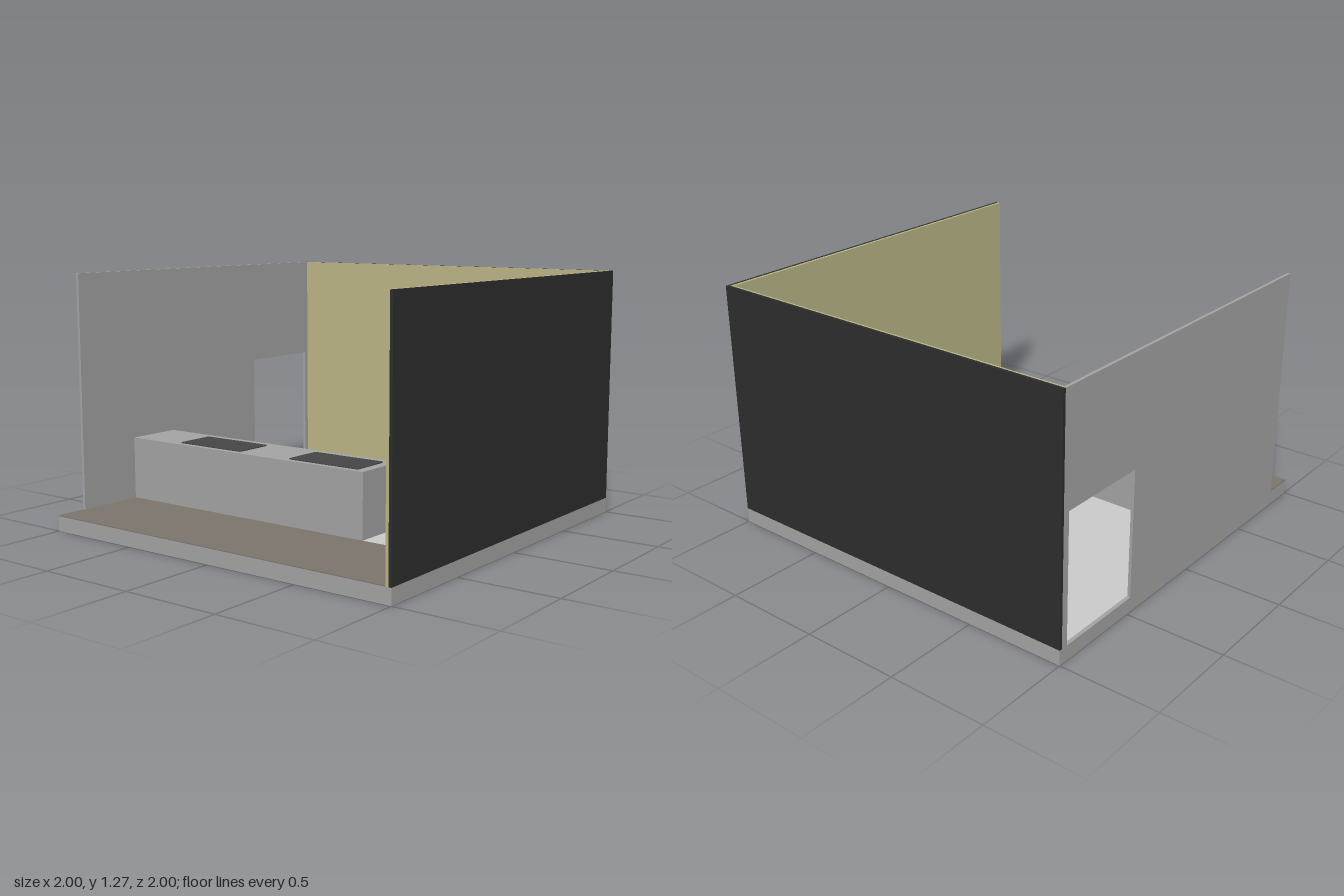
import * as THREE from 'three';

const mat = (name, color) => {
  const m = new THREE.MeshStandardMaterial({ color });
  m.name = name;
  return m;
};

export function createModel() {
  const room = new THREE.Group();
  room.name = 'room';
  const grey = mat('concrete grey', 0xa3a3a3);
  const light = mat('light floor grey', 0xcacaca);
  const brown = mat('warm brown', 0x7b746c);
  const yellow = mat('olive yellow', 0xbab585);
  const black = mat('outer wall black', 0x2d2d2d);
  const dark = mat('panel dark grey', 0x454545);

  const FLOOR = 0.08, TOP = 1.27;

  const add = (name, geometry, material) => {
    const mesh = new THREE.Mesh(geometry, material);
    mesh.name = name;
    room.add(mesh);
    return mesh;
  };

  // Box given by its lower and upper corners
  const box = (name, material, [x0, y0, z0], [x1, y1, z1]) => {
    const g = new THREE.BoxGeometry(x1 - x0, y1 - y0, z1 - z0);
    g.translate((x0 + x1) / 2, (y0 + y1) / 2, (z0 + z1) / 2);
    return add(name, g, material);
  };

  // Thin plate lying flat, outlined by [x, z] points with softened corners
  const plate = (name, material, points, y, radius, depth = 0.004) => {
    const p = points.map(([x, z]) => new THREE.Vector2(x, -z));
    const shape = new THREE.Shape();
    p.forEach((c, i) => {
      const prev = p[(i + p.length - 1) % p.length], next = p[(i + 1) % p.length];
      const toward = (o) => c.clone().lerp(o, Math.min(0.45, radius / c.distanceTo(o)));
      const a = toward(prev), b = toward(next);
      if (i === 0) shape.moveTo(a.x, a.y);
      else shape.lineTo(a.x, a.y);
      shape.quadraticCurveTo(c.x, c.y, b.x, b.y);
    });
    shape.closePath();
    const g = new THREE.ExtrudeGeometry(shape, { depth, bevelEnabled: false, curveSegments: 4 });
    g.rotateX(-Math.PI / 2).translate(0, y, 0);
    return add(name, g, material);
  };

  // Base slab and the two floor coverings
  box('baseSlab', grey, [-1, 0, -1], [1, FLOOR - 0.004, 1]);
  box('backFloor', light, [-0.985, FLOOR - 0.004, -0.975], [0.97, FLOOR, 0.49]);
  box('frontFloor', brown, [-0.985, FLOOR - 0.004, 0.49], [0.97, FLOOR, 1]);
  box('frontFloorCorner', brown, [-1, FLOOR - 0.004, 0.84], [-0.985, FLOOR, 1]);

  // Outer walls with a painted lining inside
  const sill = FLOOR - 0.004;
  box('backWall', black, [-1, sill, -1], [1, TOP, -0.985]);
  box('rightWall', black, [0.985, sill, -0.985], [1, TOP, 1]);
  box('backLining', yellow, [-0.985, sill, -0.985], [0.985, TOP, -0.975]);
  box('rightLining', yellow, [0.97, sill, -0.975], [0.985, TOP, 1]);

  // Side wall with a doorway near the back corner
  const outline = [[-0.985, sill], [-0.95, sill], [-0.95, 0.72], [-0.475, 0.72],
    [-0.475, sill], [0.84, sill], [0.84, TOP], [-0.985, TOP]];
  const wall = new THREE.ExtrudeGeometry(
    new THREE.Shape(outline.map(([z, y]) => new THREE.Vector2(z, y))),
    { depth: 0.015, bevelEnabled: false });
  wall.rotateY(-Math.PI / 2).translate(-0.985, 0, 0);
  add('doorwayWall', wall, grey);

  // Counter with two dark inset panels
  box('counter', grey, [-0.985, FLOOR, 0.2], [0.49, 0.4, 0.49]);
  for (const [x0, x1] of [[-0.68, -0.275], [0.03, 0.44]]) {
    plate('counterPanel', dark, [[x0, 0.25], [x1, 0.25], [x1, 0.46], [x0, 0.46]], 0.4, 0.015);
  }

  // Irregular worn patches on the floor
  plate('largePatch', grey, [[0.045, -0.975], [0.045, -0.86], [-0.02, -0.84], [-0.02, -0.76],
    [-0.06, -0.71], [-0.13, -0.7], [-0.13, -0.52], [-0.11, -0.48], [-0.225, -0.475],
    [-0.225, -0.085], [0.01, -0.08], [0.015, 0.04], [0.315, 0.04], [0.315, -0.125],
    [0.36, -0.125], [0.37, -0.085], [0.535, -0.085], [0.54, -0.18], [0.77, -0.18],
    [0.785, -0.22], [0.86, -0.22], [0.88, -0.25], [0.97, -0.255], [0.97, -0.975]], FLOOR, 0.02);
  plate('smallPatch', grey, [[-0.46, -0.62], [-0.32, -0.62], [-0.33, -0.53], [-0.305, -0.48],
    [-0.31, -0.435], [-0.37, -0.435], [-0.385, -0.45], [-0.46, -0.45]], FLOOR, 0.02);
  const spot = new THREE.CylinderGeometry(0.024, 0.024, 0.004, 16);
  spot.translate(-0.55, FLOOR + 0.002, -0.39);
  add('spotPatch', spot, grey);

  return room;
}
